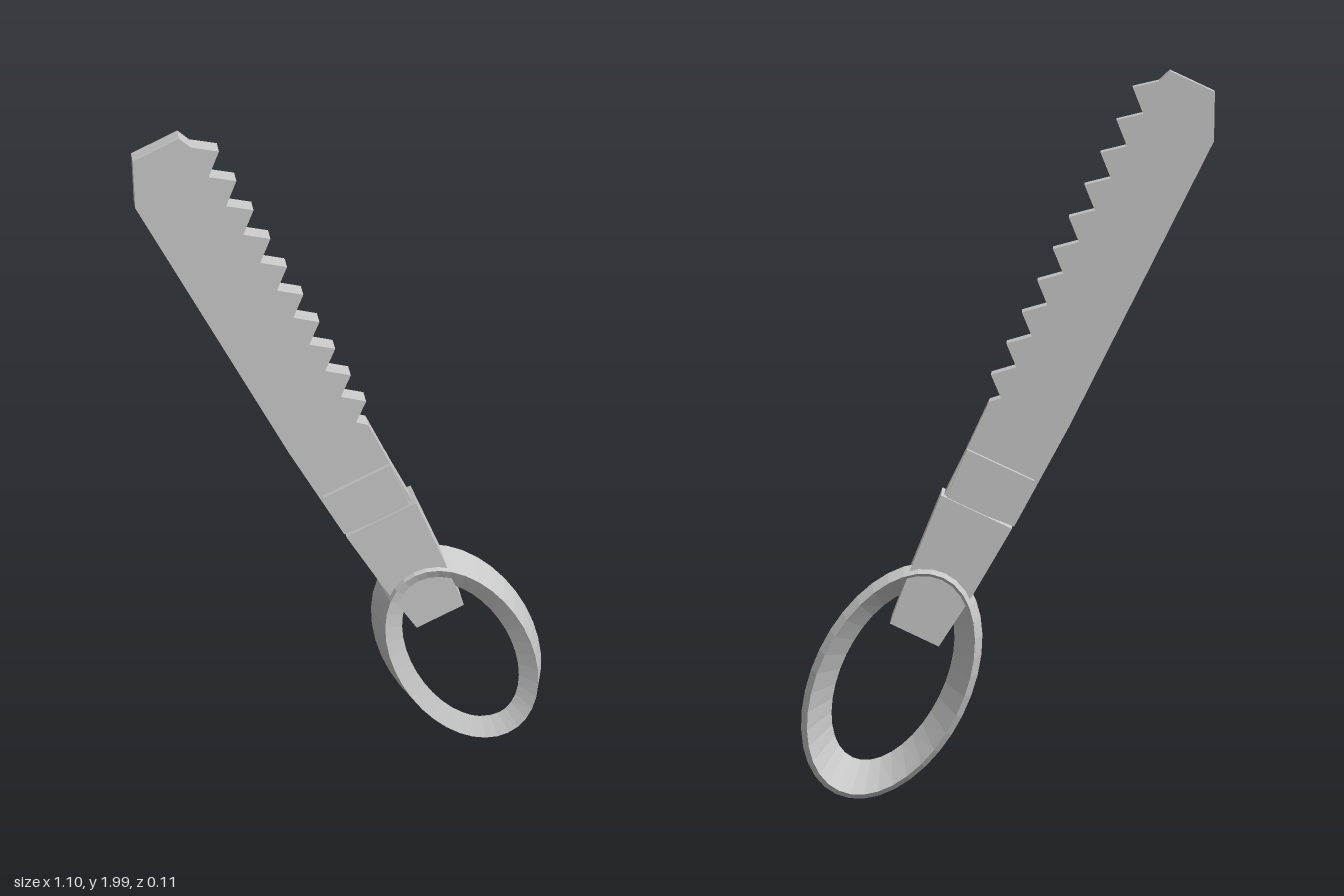
import * as THREE from 'three';

const steel = new THREE.MeshStandardMaterial({ color: 0xc9c9c9, flatShading: true });
steel.name = 'grey steel';

// Flat plate cut from an outline, centred on z = 0
function plate(name, points, halfDepth) {
  const shape = new THREE.Shape(points.map(([x, y]) => new THREE.Vector2(x, y)));
  const geo = new THREE.ExtrudeGeometry(shape, { depth: halfDepth * 2, bevelEnabled: false });
  geo.translate(0, 0, -halfDepth);
  const mesh = new THREE.Mesh(geo, steel);
  mesh.name = name;
  return mesh;
}

// Oval ring swept from a four-cornered section: [long radius, short radius, z]
function ovalRing(section, segments) {
  const pos = [], index = [], n = section.length;
  for (let i = 0; i < segments; i++) {
    const t = (i / segments) * Math.PI * 2;
    for (const [a, b, z] of section) pos.push(b * Math.cos(t), a * Math.sin(t), z);
  }
  for (let i = 0; i < segments; i++) {
    for (let j = 0; j < n; j++) {
      const p = i * n + j, q = i * n + (j + 1) % n;
      const r = ((i + 1) % segments) * n + j, s = ((i + 1) % segments) * n + (j + 1) % n;
      index.push(p, r, q, q, r, s);
    }
  }
  const geo = new THREE.BufferGeometry();
  geo.setAttribute('position', new THREE.Float32BufferAttribute(pos, 3));
  geo.setIndex(index);
  geo.computeVertexNormals();
  return geo;
}

export function createModel() {
  const group = new THREE.Group();
  group.name = 'handSaw';

  // Blade: straight back, clipped tip and ten evenly spaced teeth
  const outline = [[-0.035, 0.785], [-0.18, 1.06], [-0.55, 1.82], [-0.55, 1.947], [-0.435, 2]];
  for (let i = 0; i < 10; i++) {
    outline.push([-0.407 + i * 0.0407, 1.974 - i * 0.0836]);
    outline.push([-0.339 + i * 0.0406, 1.958 - i * 0.0841]);
  }
  outline.push([0, 1.138], [0.032, 1.127], [0.095, 0.99], [0.152, 0.872]);
  group.add(plate('blade', outline, 0.023));

  // Stepped collar and tang that passes through the ring
  group.add(plate('collar', [[-0.09, 0.915], [0.09, 1.0], [0.148, 0.86], [-0.035, 0.79]], 0.036));
  group.add(plate('tang',
    [[-0.03, 0.785], [0.16, 0.876], [0.243, 0.67], [0.3, 0.517], [0.168, 0.453], [0.075, 0.6]], 0.043));

  // Tilted oval finger ring with ridged outer and inner edges
  const ring = new THREE.Mesh(ovalRing([
    [0.328, 0.19, 0.055],
    [0.265, 0.14, 0.03],
    [0.338, 0.197, -0.055],
    [0.361, 0.2155, -0.028],
  ], 36), steel);
  ring.name = 'handleRing';
  ring.position.set(0.299, 0.345, 0);
  ring.rotation.z = THREE.MathUtils.degToRad(25.5);
  group.add(ring);

  return group;
}
